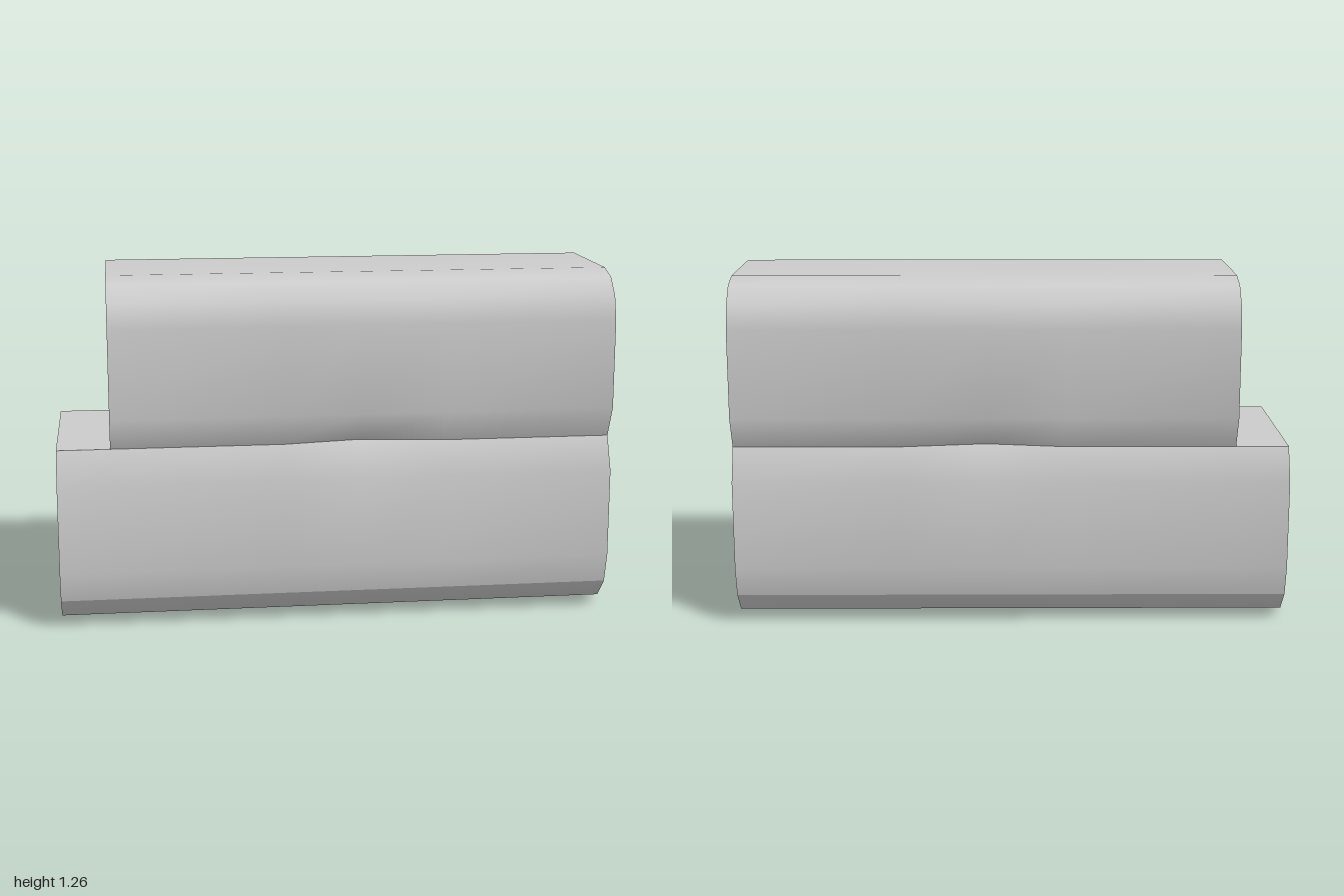
import * as THREE from 'three';

const SEAM_Y = 0.66, SEAM_Z = 0.33, PINCH_Z = 0.285;
const STEP_X = -0.81, PINCH_X = 0.09;

// Half profiles as [z, y]; the first point lies on the seam
const lowerSide = [[SEAM_Z, SEAM_Y], [0.385, 0.54], [0.385, 0.22], [0.355, 0.11]];
const bottomHalf = [[0.355, 0.11], [0.275, 0.03], [0.165, 0]];
const upperHalf = [[SEAM_Z, SEAM_Y], [0.385, 0.775], [0.385, 1.095], [0.36, 1.18], [0.3, 1.24], [0.215, 1.263]];

const mirror = (pts) => pts.map(([z, y]) => [-z, y]).reverse();

export function createModel() {
  const group = new THREE.Group();
  const material = new THREE.MeshStandardMaterial({ color: 0xcccccc });
  const add = (name, geometry) => {
    const mesh = new THREE.Mesh(geometry, material);
    mesh.name = name;
    group.add(mesh);
    return mesh;
  };

  // Smooth skin swept along x; seam points draw inward at the pinch
  function skin(name, profile, xs) {
    const pos = [], index = [], n = profile.length;
    xs.forEach((x, i) => {
      profile.forEach(([z, y], j) => {
        const pinched = y === SEAM_Y && x === PINCH_X;
        pos.push(x, y, pinched ? Math.sign(z) * PINCH_Z : z);
        if (i < xs.length - 1 && j < n - 1) {
          const a = i * n + j, b = a + n;
          index.push(a, a + 1, b, a + 1, b + 1, b);
        }
      });
    });
    const geometry = new THREE.BufferGeometry();
    geometry.setAttribute('position', new THREE.Float32BufferAttribute(pos, 3));
    geometry.setIndex(index);
    geometry.computeVertexNormals();
    add(name, geometry);
  }

  // Flat end facing +x or -x
  function cap(name, profile, x, dir) {
    const shape = new THREE.Shape(profile.map(([z, y]) => new THREE.Vector2(z, y)));
    const mesh = add(name, new THREE.ShapeGeometry(shape));
    mesh.rotation.y = dir * Math.PI / 2;
    mesh.position.x = x;
  }

  const lowerXs = [-1, STEP_X, -0.19, PINCH_X, 0.4, 1];
  const upperXs = lowerXs.slice(1);
  const bottom = [...bottomHalf, ...mirror(bottomHalf)];
  const lower = [...lowerSide, ...bottom.slice(1, -1), ...mirror(lowerSide)];
  const upper = [...mirror(upperHalf).reverse(), ...mirror(mirror(upperHalf).reverse())];

  // Lower body
  skin('lowerFrontSide', lowerSide, lowerXs);
  skin('underside', bottom, lowerXs);
  skin('lowerBackSide', mirror(lowerSide), lowerXs);
  cap('lowerLeftEnd', lower, 1, 1);
  cap('lowerRightEnd', lower, -1, -1);

  // Exposed ledge in front of the shorter upper body
  skin('ledge', [[-SEAM_Z, SEAM_Y], [SEAM_Z, SEAM_Y]], [-1, STEP_X]);

  // Upper body
  skin('upperShell', upper, upperXs);
  cap('upperLeftEnd', upper, 1, 1);
  cap('upperRightEnd', upper, STEP_X, -1);

  return group;
}
